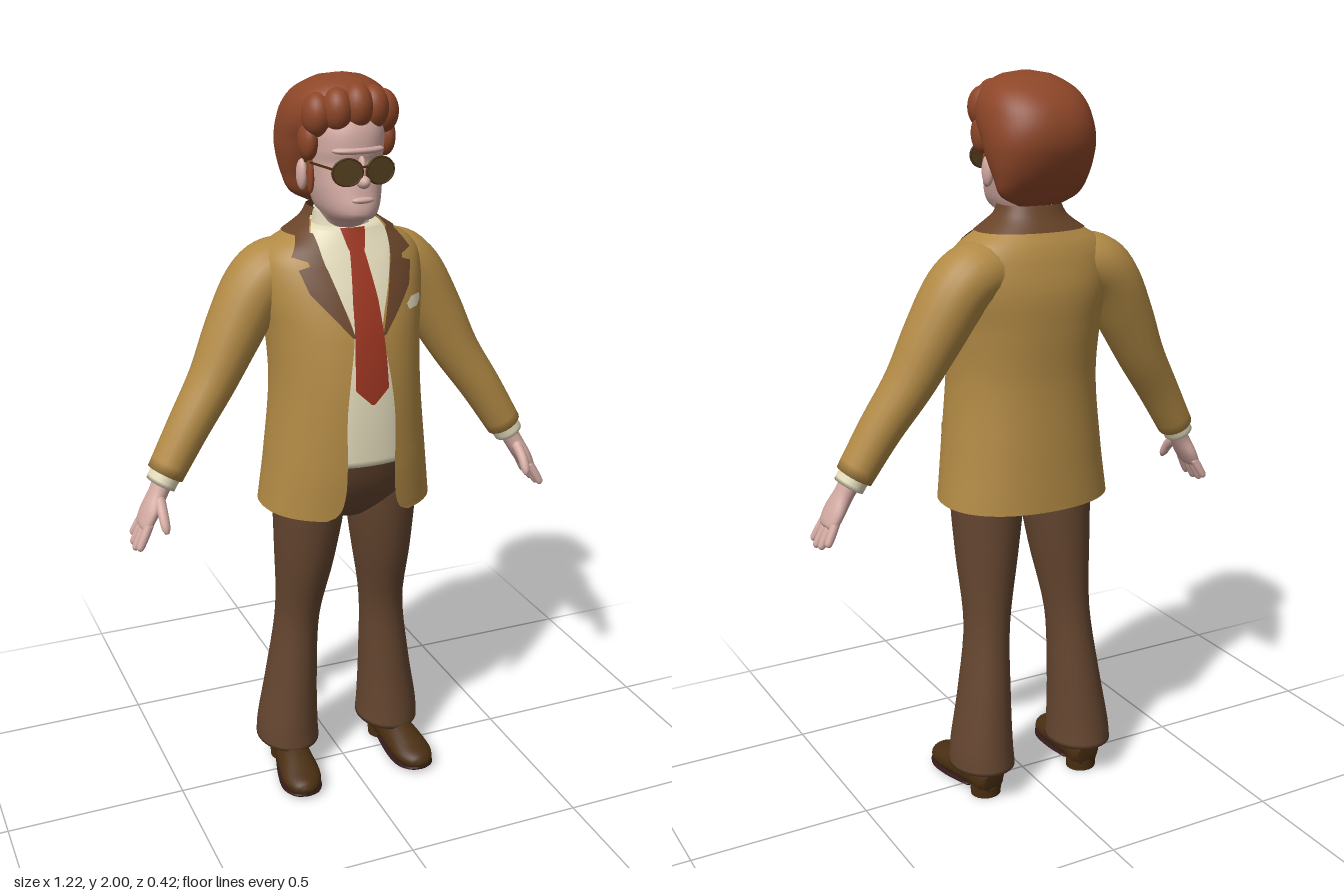
import * as THREE from 'three';
import { mergeVertices } from 'three/addons/utils/BufferGeometryUtils.js';

const mat = (name, color, side = THREE.DoubleSide) => {
  const m = new THREE.MeshStandardMaterial({ color, side });
  m.name = name;
  return m;
};
const M = {
  jacket: mat('mustard cloth', 0xb28a45), trim: mat('brown trim', 0x694429), trousers: mat('brown trousers', 0x64452f),
  shirt: mat('cream shirt', 0xe4dcbc), tie: mat('red tie', 0x9a3420), skin: mat('skin', 0xd3aaa2),
  hair: mat('auburn hair', 0x8d4628), shoe: mat('shoe leather', 0x4a2f12), lens: mat('tinted lens', 0x554020),
  sole: mat('dark sole', 0x33181a),
};

// Smooth interpolation of table rows keyed by their first column
function at(rows, t) {
  let i = 0;
  while (i < rows.length - 2 && t > rows[i + 1][0]) i++;
  const a = rows[i], b = rows[i + 1], h = b[0] - a[0];
  const k = Math.min(1, Math.max(0, (t - a[0]) / h));
  const p = rows[i - 1] || a, q = rows[i + 2] || b;
  return a.slice(1).map((_, n) => {
    const c = n + 1, ma = (b[c] - p[c]) / (b[0] - p[0]) * h, mb = (q[c] - a[c]) / (q[0] - a[0]) * h;
    const k2 = k * k, k3 = k2 * k;
    return (2 * k3 - 3 * k2 + 1) * a[c] + (k3 - 2 * k2 + k) * ma + (3 * k2 - 2 * k3) * b[c] + (k3 - k2) * mb;
  });
}

// Surface grid; fn(u, v) gives a point
function grid(nu, nv, fn) {
  const pos = [], idx = [];
  for (let j = 0; j <= nv; j++) for (let i = 0; i <= nu; i++) pos.push(...fn(i / nu, j / nv));
  for (let j = 0; j < nv; j++) for (let i = 0; i < nu; i++) {
    const a = j * (nu + 1) + i, c = a + nu + 1;
    idx.push(a, a + 1, c, a + 1, c + 1, c);
  }
  let g = new THREE.BufferGeometry();
  g.setAttribute('position', new THREE.Float32BufferAttribute(pos, 3));
  g.setIndex(idx);
  g = mergeVertices(g, 1e-5);
  g.computeVertexNormals();
  return g;
}

// Horizontal cross-sections: rows are [y, halfWidth, frontZ, backZ]
const N = 2.2;
const pw = (v) => Math.sign(v) * Math.abs(v) ** (2 / N);
function section(rows, y, th, off = 0) {
  const [w, f, b] = at(rows, y), m = (f + b) / 2 - 0.01, s = Math.sin(th), c = Math.cos(th);
  return [(w + off) * pw(s), y, m + ((c > 0 ? f - m : m - b) + off) * pw(c)];
}
const stack = (rows, off = 0, y0 = rows[0][0], y1 = rows.at(-1)[0], nv = 40) => grid(48, nv + 2, (u, v) => {
  const j = Math.round(v * (nv + 2)), k = Math.min(nv, Math.max(0, j - 1)) / nv;
  const y = y0 + (y1 - y0) * k, p = section(rows, y, u * Math.PI * 2, off);
  if (j > 0 && j < nv + 2) return p;
  const [, f, b] = at(rows, y);
  return [0, y, (f + b) / 2];
});

// Capped tube through rings [x, y, z, a, b]; b lies along ref, a across it
function loft(rings, ref = new THREE.Vector3(0, 0, 1), seg = 20, floor = -9) {
  const rows = rings.map((r, i) => [i, ...r]), last = rings.length - 1, nv = last * 5;
  return grid(seg, nv + 2, (u, v) => {
    const j = Math.round(v * (nv + 2)), t = Math.min(nv, Math.max(0, j - 1)) / nv * last;
    const [x, y, z, a, b] = at(rows, t), r = j > 0 && j < nv + 2 ? 1 : 0;
    const P = (q) => new THREE.Vector3(...at(rows, q));
    const T = P(Math.min(last, t + 0.05)).sub(P(Math.max(0, t - 0.05))).normalize();
    const S = T.clone().cross(ref).normalize(), R = S.clone().cross(T);
    const c = Math.cos(u * Math.PI * 2) * b * r, s = Math.sin(u * Math.PI * 2) * a * r;
    return [x + R.x * c + S.x * s, Math.max(floor, y + R.y * c + S.y * s), z + R.z * c + S.z * s];
  });
}
const ball = (x, y, z, rx, ry, rz) => new THREE.SphereGeometry(1, 24, 16).scale(rx, ry, rz).translate(x, y, z);

// Torso shape shared by jacket, shirt and everything lying on the chest
const TORSO = [
  [0.86, 0.24, 0.197, -0.183], [1.0, 0.222, 0.206, -0.178], [1.2, 0.203, 0.202, -0.173], [1.35, 0.208, 0.18, -0.183],
  [1.45, 0.222, 0.148, -0.185], [1.53, 0.222, 0.11, -0.168], [1.57, 0.195, 0.088, -0.153],
  [1.6, 0.145, 0.072, -0.135], [1.635, 0.095, 0.055, -0.115], [1.67, 0.075, 0.045, -0.1]];
// Half width of the jacket's front opening
const OPENING = [[0.86, 0.118], [0.875, 0.09], [0.92, 0.073], [1.0, 0.068], [1.15, 0.067], [1.25, 0.056],
  [1.36, 0.04], [1.4, 0.046], [1.5, 0.08], [1.6, 0.104], [1.635, 0.088], [1.67, 0.07]];
const wrap = (y0, y1, off, nv) => grid(56, nv, (u, v) => {
  const y = y0 + (y1 - y0) * v, a = Math.asin(Math.min(1, at(OPENING, y)[0] / at(TORSO, y)[0]) ** (N / 2));
  return section(TORSO, y, a + u * 2 * (Math.PI - a), off);
});
// Thin piece lying on the chest: rows are [y, x0, x1], upwards
const patch = (rows, off) => grid(10, (rows.length - 1) * 6, (u, v) => {
  const t = v * (rows.length - 1), i = Math.min(rows.length - 2, Math.floor(t)), k = t - i;
  const [y, x0, x1] = rows[i].map((c, n) => c + (rows[i + 1][n] - c) * k);
  const [w, f, b] = at(TORSO, y), m = (f + b) / 2 - 0.01, x = x0 + (x1 - x0) * u;
  return [x, y, m + (f - m) * (1 - Math.min(1, Math.abs(x) / w) ** N) ** (1 / N) + off];
});

export function createModel() {
  const root = new THREE.Group();
  root.name = 'suitedMan';
  const add = (name, geo, m) => {
    const mesh = new THREE.Mesh(geo, m);
    mesh.name = name;
    root.add(mesh);
  };
  // Adds a +x part and its mirror image
  const pair = (name, geo, m) => {
    add(name + 'Left', geo, m);
    const g = geo.clone().scale(-1, 1, 1), ix = g.index.array;
    for (let i = 0; i < ix.length; i += 3) [ix[i], ix[i + 1]] = [ix[i + 1], ix[i]];
    g.computeVertexNormals();
    add(name + 'Right', g, m);
  };

  // Jacket, shirt and tie
  add('jacketBody', wrap(0.86, 1.635, 0, 70), M.jacket);
  add('jacketCollar', wrap(1.6, 1.665, 0.006, 10), M.trim);
  add('shirt', stack(TORSO, -0.008, 1.01, 1.62), M.shirt);
  add('shirtCollar', loft([[0, 1.58, -0.02, 0.088, 0.085], [0, 1.62, -0.02, 0.076, 0.075], [0, 1.66, -0.02, 0.07, 0.07]]), M.shirt);
  pair('collarPoint', patch([[1.53, 0.064, 0.068], [1.57, 0.04, 0.088], [1.615, 0.015, 0.09]], 0.004), M.shirt);
  pair('lapel', patch([[1.36, 0.038, 0.045], [1.47, 0.07, 0.138], [1.525, 0.086, 0.155], [1.535, 0.09, 0.128],
    [1.545, 0.092, 0.13], [1.555, 0.094, 0.165], [1.608, 0.1, 0.132]], 0.007), M.trim);
  add('tie', patch([[1.185, -0.004, 0.004], [1.225, -0.046, 0.046], [1.3, -0.044, 0.044], [1.45, -0.035, 0.035],
    [1.565, -0.02, 0.02], [1.575, -0.024, 0.024], [1.62, -0.034, 0.034]], 0.006), M.tie);
  add('pocketSquare', patch([[1.41, 0.128, 0.16], [1.425, 0.122, 0.178], [1.44, 0.14, 0.175]], 0.008), M.shirt);
  pair('pocketFlap', patch([[1.015, 0.1, 0.185], [1.055, 0.1, 0.185]], 0.005), M.jacket);

  // Arms and cuffs
  pair('sleeve', loft([[0.08, 1.5, -0.06, 0.07, 0.08], [0.165, 1.498, -0.062, 0.085, 0.095], [0.225, 1.455, -0.06, 0.085, 0.096],
    [0.29, 1.345, -0.05, 0.078, 0.086], [0.355, 1.225, -0.037, 0.065, 0.074], [0.43, 1.11, -0.02, 0.057, 0.063],
    [0.503, 0.99, -0.008, 0.05, 0.055]]), M.jacket);
  pair('cuff', loft([[0.49, 1.01, -0.008, 0.042, 0.046], [0.518, 0.964, -0.005, 0.041, 0.046]]), M.shirt);

  // Hands
  pair('palm', loft([[0.508, 0.98, -0.003, 0.028, 0.032], [0.53, 0.94, 0.003, 0.025, 0.034],
    [0.553, 0.9, 0.008, 0.023, 0.047], [0.572, 0.865, 0.01, 0.018, 0.045], [0.577, 0.855, 0.01, 0.008, 0.035]]), M.skin);
  for (let i = 0; i < 4; i++) {
    const z = -0.025 + i * 0.023, spread = (i - 1.4) * 0.008, len = [0.76, 0.95, 1, 0.88][i];
    const ring = (k, r) => [0.565 + 0.04 * k * len, 0.875 - 0.075 * k * len, z + spread * k, r, r];
    pair('finger' + (i + 1), loft([ring(0, 0.012), ring(0.5, 0.012), ring(0.9, 0.01), ring(1, 0.004)], undefined, 10), M.skin);
  }
  pair('thumb', loft([[0.53, 0.935, 0.02, 0.015, 0.018], [0.532, 0.905, 0.06, 0.014, 0.015],
    [0.532, 0.875, 0.083, 0.012, 0.012], [0.531, 0.86, 0.091, 0.005, 0.005]], undefined, 12), M.skin);

  // Trousers
  add('trouserSeat', stack([[0.82, 0.06, 0.08, -0.06], [0.87, 0.19, 0.125, -0.1], [0.94, 0.2, 0.165, -0.13], [1.025, 0.198, 0.192, -0.15]]), M.trousers);
  pair('trouserLeg', loft([[0.105, 0.97, 0.01, 0.09, 0.12], [0.107, 0.86, 0.01, 0.098, 0.115], [0.116, 0.7, -0.003, 0.083, 0.102],
    [0.13, 0.5, -0.028, 0.062, 0.076], [0.146, 0.3, -0.04, 0.072, 0.088], [0.158, 0.15, -0.045, 0.086, 0.102],
    [0.159, 0.09, -0.047, 0.09, 0.108]], undefined, 28), M.trousers);

  // Shoes, toes turned slightly out
  const X = new THREE.Vector3(1, 0, 0);
  const shoePart = (g) => g.rotateY(0.09).translate(0.165, 0, 0);
  pair('shoe', shoePart(loft([[0, 0.05, -0.115, 0.035, 0.03], [0, 0.055, -0.09, 0.055, 0.045], [0, 0.055, -0.02, 0.055, 0.046],
    [0, 0.045, 0.05, 0.05, 0.053], [0, 0.035, 0.12, 0.034, 0.056], [0, 0.03, 0.165, 0.024, 0.038], [0, 0.028, 0.182, 0.008, 0.014]],
    X, 24, 0.016)), M.shoe);
  pair('sole', shoePart(loft([[0, 0.014, -0.03, 0.006, 0.04], [0, 0.01, 0.05, 0.009, 0.054], [0, 0.01, 0.12, 0.009, 0.058],
    [0, 0.014, 0.165, 0.008, 0.04], [0, 0.016, 0.18, 0.004, 0.016]], X)), M.sole);
  pair('heel', shoePart(new THREE.CylinderGeometry(0.045, 0.043, 0.03, 24).scale(1, 1, 0.95).translate(0, 0.015, -0.07)), M.shoe);

  // Head and face
  add('head', stack([[1.6, 0.055, 0.03, -0.08], [1.64, 0.06, 0.09, -0.085], [1.652, 0.064, 0.132, -0.09], [1.675, 0.076, 0.142, -0.1],
    [1.72, 0.088, 0.133, -0.11], [1.765, 0.094, 0.122, -0.12], [1.79, 0.097, 0.116, -0.12], [1.82, 0.1, 0.122, -0.12],
    [1.88, 0.1, 0.112, -0.12], [1.94, 0.07, 0.07, -0.09]]), M.skin);
  add('nose', ball(0, 1.748, 0.134, 0.017, 0.017, 0.024), M.skin);
  add('noseBridge', ball(0, 1.775, 0.124, 0.011, 0.036, 0.018), M.skin);
  add('lips', ball(0, 1.702, 0.132, 0.03, 0.009, 0.013), M.skin);
  add('brow', ball(0, 1.822, 0.098, 0.07, 0.013, 0.03), M.skin);
  pair('ear', ball(0.108, 1.75, -0.012, 0.014, 0.04, 0.022), M.skin);

  // Hair: swept volume, front curls and sideburns
  add('hairVolume', stack([[1.665, 0.06, -0.06, -0.105], [1.69, 0.108, -0.035, -0.135], [1.74, 0.13, -0.01, -0.175],
    [1.8, 0.144, 0.03, -0.203], [1.84, 0.147, 0.055, -0.21], [1.88, 0.145, 0.09, -0.205], [1.92, 0.136, 0.1, -0.185],
    [1.955, 0.115, 0.09, -0.148], [1.98, 0.08, 0.065, -0.1], [1.994, 0.045, 0.03, -0.06], [1.998, 0.01, -0.005, -0.025]]), M.hair);
  for (const [x, y, z, r] of [[-0.088, 1.905, 0.045, 0.046], [-0.045, 1.918, 0.072, 0.046], [0.005, 1.925, 0.078, 0.048],
    [0.052, 1.92, 0.07, 0.046], [0.092, 1.905, 0.042, 0.046]]) add('frontCurl', ball(x, y, z, r * 0.85, r * 1.2, r), M.hair);
  pair('templeHair', ball(0.105, 1.84, 0.025, 0.025, 0.05, 0.04), M.hair);
  pair('sideburn', ball(0.096, 1.755, 0.018, 0.01, 0.05, 0.014), M.hair);

  // Glasses
  pair('lens', new THREE.CylinderGeometry(0.037, 0.037, 0.004, 28).rotateX(Math.PI / 2).scale(1.05, 0.9, 1)
    .rotateY(0.12).translate(0.044, 1.775, 0.138), M.lens);
  pair('lensRim', new THREE.TorusGeometry(0.037, 0.003, 8, 28).scale(1.05, 0.9, 1).rotateY(0.12).translate(0.044, 1.775, 0.138), M.shoe);
  pair('templeArm', new THREE.BoxGeometry(0.004, 0.005, 0.14).rotateY(-0.15).translate(0.094, 1.785, 0.062), M.shoe);
  add('glassesBridge', new THREE.BoxGeometry(0.022, 0.005, 0.005).translate(0, 1.787, 0.144), M.shoe);
  return root;
}
